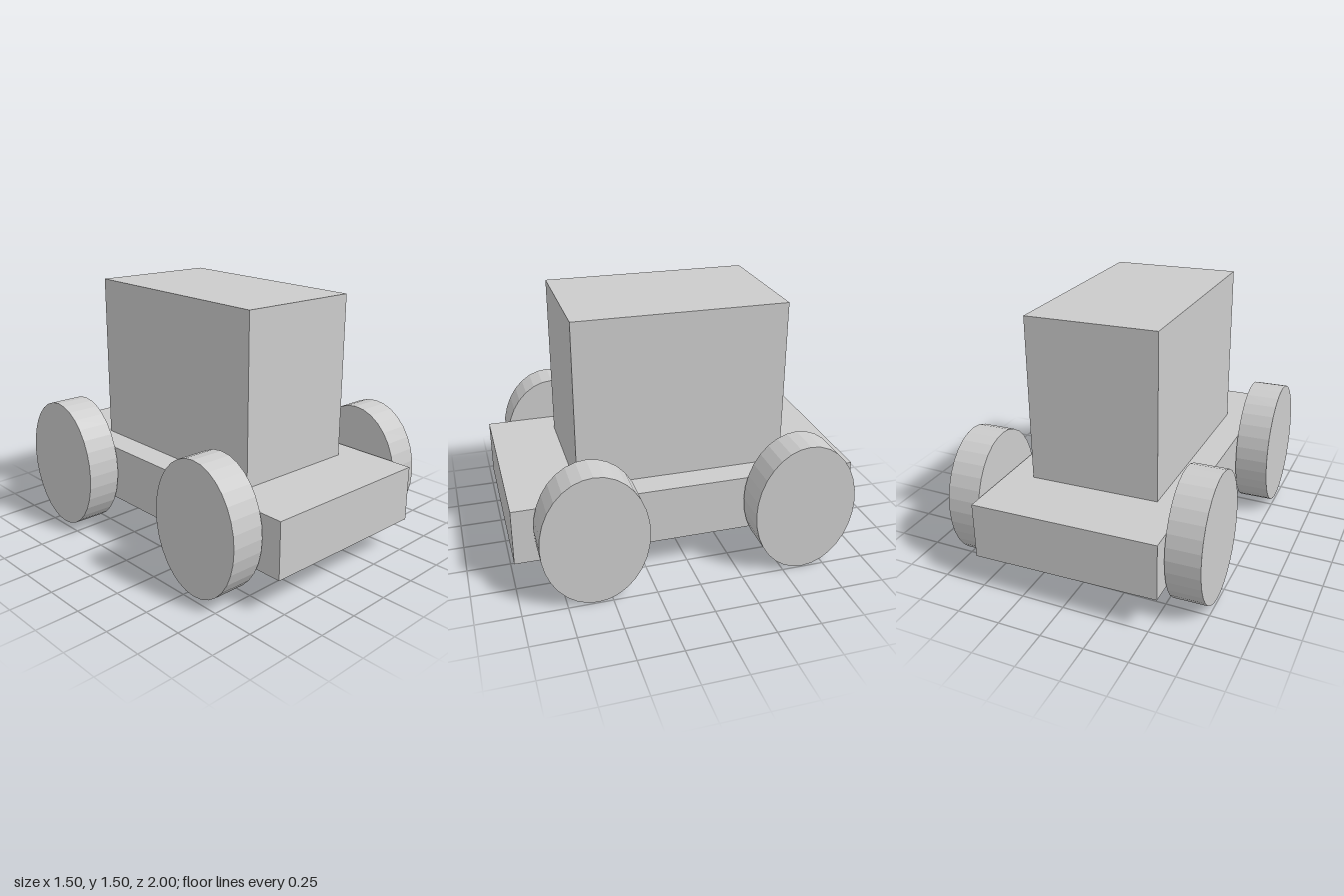
import * as THREE from 'three';

export function createModel() {
  const model = new THREE.Group();
  const material = new THREE.MeshStandardMaterial({ color: 0xcccccc, flatShading: true });

  // Slight sideways tilt shared by every part, applied about the part's own centre
  const tilt = new THREE.Matrix4().set(
    1, 0.004, 0, 0,
    -0.025, 1, 0, 0,
    0, 0, 1, 0,
    0, 0, 0, 1
  );

  function addPart(name, geometry, x, y, z) {
    const mesh = new THREE.Mesh(geometry.applyMatrix4(tilt), material);
    mesh.name = name;
    mesh.position.set(x, y, z);
    model.add(mesh);
  }

  // Long low chassis and the tall cabin standing on it
  addPart('chassis', new THREE.BoxGeometry(1.081, 0.328, 2), -0.006, 0.366, 0);
  addPart('cabin', new THREE.BoxGeometry(0.764, 0.964, 1.216), -0.002, 1.011, 0);

  // Four oval wheels, the right-hand pair a little higher
  for (const [side, x, y] of [['left', 0.647, 0.39], ['right', -0.651, 0.411]]) {
    for (const [end, z] of [['front', 0.585], ['back', -0.622]]) {
      const wheel = new THREE.CylinderGeometry(1, 1, 0.197, 32)
        .rotateZ(Math.PI / 2)
        .scale(1, 0.386, 0.3);
      addPart(`${end} ${side} wheel`, wheel, x, y, z);
    }
  }

  return model;
}
